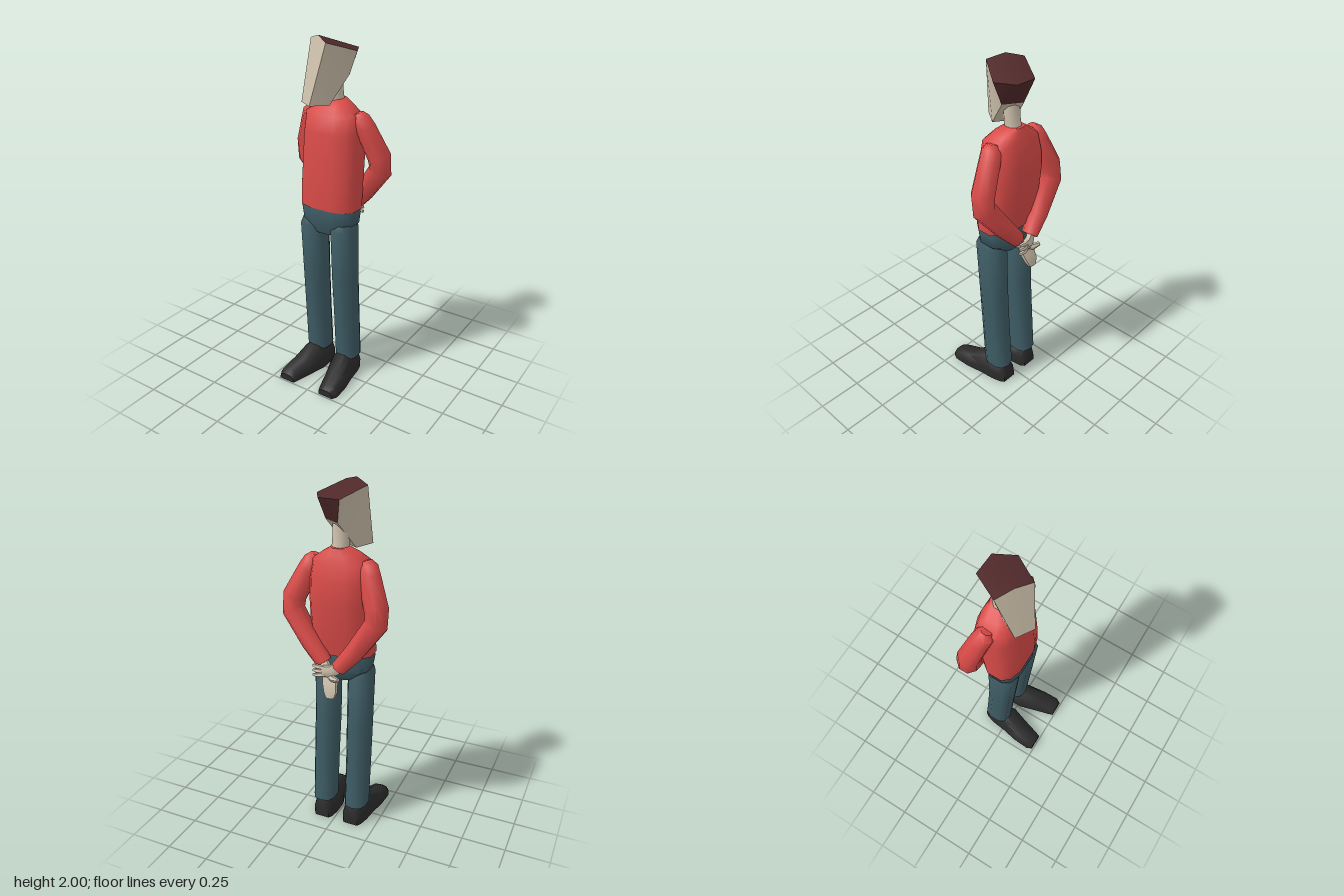
import * as THREE from 'three';
import { toCreasedNormals } from 'three/addons/utils/BufferGeometryUtils.js';

const CX = -0.017; // the body's own middle line
const V = (x, y, z) => new THREE.Vector3(x, y, z);
const mat = (color) => new THREE.MeshStandardMaterial({ color });
const RED = mat(0xd94b48), DENIM = mat(0x3e5c65), SKIN = mat(0xcdc0ab), HAIR = mat(0x50292a), BLACK = mat(0x2a2a2a);

function makeMesh(name, points, index, material, crease) {
  const g = new THREE.BufferGeometry().setFromPoints(points);
  g.setIndex(index);
  const mesh = new THREE.Mesh(toCreasedNormals(g, crease), material);
  mesh.name = name;
  return mesh;
}

// Closed skin over a list of rings; the winding is turned outward whatever the ring order
function loft(name, rings, material, crease = 0.95) {
  const n = rings[0].length, pts = rings.flat(), idx = [];
  for (let r = 0; r < rings.length - 1; r++) {
    for (let i = 0; i < n; i++) {
      const a = r * n + i, b = r * n + (i + 1) % n;
      idx.push(a, a + n, b, b, a + n, b + n);
    }
  }
  const last = (rings.length - 1) * n;
  for (let i = 1; i < n - 1; i++) idx.push(0, i, i + 1, last, last + i + 1, last + i);
  let volume = 0;
  for (let i = 0; i < idx.length; i += 3) {
    volume += pts[idx[i]].dot(pts[idx[i + 1]].clone().cross(pts[idx[i + 2]]));
  }
  if (volume < 0) idx.reverse();
  return makeMesh(name, pts, idx, material, crease);
}

// Round limb through stations [x, y, z, radius]
function limb(name, stations, material, sides = 8, flat = 1) {
  const c = stations.map((s) => V(s[0], s[1], s[2]));
  const rings = c.map((p, i) => {
    const t = c[Math.min(i + 1, c.length - 1)].clone().sub(c[Math.max(i - 1, 0)]).normalize();
    const u = V(0, 0, 1).cross(t).normalize(), w = t.clone().cross(u);
    return Array.from({ length: sides }, (_, k) => {
      const a = ((k + 0.5) / sides) * Math.PI * 2, r = stations[i][3];
      return p.clone().addScaledVector(u, Math.cos(a) * r).addScaledVector(w, Math.sin(a) * r * flat);
    });
  });
  return loft(name, rings, material);
}

// Horizontal rounded-box ring
function slab(cx, y, halfWidth, front, back, sides = 12, power = 0.7) {
  const soft = (v) => Math.sign(v) * Math.abs(v) ** power;
  return Array.from({ length: sides }, (_, i) => {
    const a = ((i + 0.5) / sides) * Math.PI * 2;
    return V(cx + soft(Math.cos(a)) * halfWidth, y,
      (front + back) / 2 + soft(Math.sin(a)) * (front - back) / 2);
  });
}

function makeHead() {
  const head = new THREE.Group();
  head.name = 'head';
  const p = [
    [0.096, 1.975, 0], [0, 2.0, 0], [-0.096, 1.975, 0],                       // hairline
    [-0.102, 1.925, -0.17], [0, 1.925, -0.228], [0.102, 1.925, -0.17],        // crown
    [0.055, 1.8, -0.15], [-0.055, 1.8, -0.15],                                // nape
    [0.074, 1.655, -0.03], [-0.045, 1.655, -0.03],                            // jaw
    [0.068, 1.66, 0.08], [-0.037, 1.66, 0.08],                                // chin
  ].map((q) => V(...q));
  const fan = (faces) => faces.flatMap((f) => f.slice(2).flatMap((_, i) => [f[0], f[i + 1], f[i + 2]]));
  head.add(makeMesh('face', p, fan([[1, 2, 11, 10, 0], [0, 10, 8, 6, 5], [2, 3, 7, 9, 11],
    [10, 11, 9, 8], [8, 9, 7, 6]]), SKIN, 0.6));
  head.add(makeMesh('hair', p, fan([[1, 0, 5, 4, 3, 2], [5, 6, 4], [4, 6, 7], [4, 7, 3]]), HAIR, 0.6));
  // the head looks toward the model's right
  head.position.set(-0.062, 0, 0.025);
  head.rotation.y = -0.57;
  return head;
}

function makeShoe(side) {
  // stations: z, inner edge, outer edge, height
  const rings = [
    [-0.148, 0.05, 0.135, 0.07], [-0.125, 0.035, 0.15, 0.125], [-0.07, 0.025, 0.165, 0.14],
    [0.015, 0.025, 0.175, 0.145], [0.11, 0.052, 0.194, 0.088], [0.21, 0.08, 0.2, 0.062], [0.242, 0.09, 0.185, 0.04],
  ].map(([z, a, b, h]) => [[0, 0], [0, 0.45], [0.2, 0.9], [0.4, 1], [0.65, 1], [0.85, 0.85], [1, 0.4], [1, 0]]
    .map(([s, t]) => V(CX + side * (a + (b - a) * s), h * t, z)));
  return loft(side > 0 ? 'leftShoe' : 'rightShoe', rings, BLACK, 0.8);
}

export function createModel() {
  const model = new THREE.Group();
  model.name = 'standingMan';

  model.add(makeHead());
  model.add(limb('neck', [[CX, 1.6, -0.085, 0.047], [CX, 1.7, -0.065, 0.045], [-0.015, 1.82, -0.06, 0.042]], SKIN));

  // Sweater body: y, half width, front z, back z
  model.add(loft('sweater', [
    [1.08, 0.176, 0.08, -0.135], [1.2, 0.174, 0.082, -0.155], [1.38, 0.17, 0.07, -0.18],
    [1.5, 0.166, 0.06, -0.178], [1.595, 0.155, 0.045, -0.155], [1.635, 0.1, 0.01, -0.142], [1.67, 0.045, -0.035, -0.13],
  ].map(([y, w, f, b]) => slab(CX, y, w, f, b)), RED));

  // Hips
  model.add(loft('hips', [
    [1.1, 0.165, 0.07, -0.125], [1.06, 0.172, 0.077, -0.13], [0.99, 0.16, 0.075, -0.135], [0.93, 0.085, 0.055, -0.105],
  ].map(([y, w, f, b]) => slab(CX, y, w, f, b)), DENIM));

  // Legs and shoes
  for (const side of [-1, 1]) {
    const stations = [
      [1.0, 0.1, 0.055, 0.06, -0.08], [0.965, 0.099, 0.07, 0.075, -0.1], [0.65, 0.098, 0.07, 0.053, -0.108],
      [0.4, 0.1, 0.068, 0.035, -0.125], [0.115, 0.1, 0.067, 0.016, -0.148],
    ];
    model.add(loft(side > 0 ? 'leftLeg' : 'rightLeg',
      stations.map(([y, a, w, f, b]) => slab(CX + side * a, y, w, f, b, 10, 0.8)), DENIM));
    model.add(makeShoe(side));
  }

  // Sleeves, bent so that the hands meet behind the back
  model.add(limb('leftSleeve', [
    [0.125, 1.61, -0.065, 0.03], [0.135, 1.58, -0.068, 0.053], [0.16, 1.53, -0.08, 0.058], [0.235, 1.38, -0.105, 0.064],
    [0.238, 1.3, -0.115, 0.064], [0.12, 1.14, -0.145, 0.055], [0.04, 1.045, -0.16, 0.045],
  ], RED));
  model.add(limb('rightSleeve', [
    [-0.155, 1.61, -0.07, 0.03], [-0.167, 1.58, -0.073, 0.053], [-0.185, 1.53, -0.09, 0.058], [-0.24, 1.38, -0.13, 0.064],
    [-0.243, 1.3, -0.138, 0.064], [-0.13, 1.13, -0.158, 0.055], [-0.05, 1.035, -0.172, 0.045],
  ], RED));

  // Left hand hangs down; the right one holds its wrist
  model.add(limb('leftHand', [
    [0.05, 1.05, -0.16, 0.034], [0.01, 1.0, -0.178, 0.036], [-0.01, 0.95, -0.195, 0.046],
    [-0.02, 0.9, -0.212, 0.04], [-0.022, 0.87, -0.222, 0.026],
  ], SKIN, 6, 0.6));
  model.add(limb('leftThumb', [
    [0.01, 1.0, -0.18, 0.02], [-0.035, 0.985, -0.215, 0.018], [-0.07, 0.99, -0.225, 0.012],
  ], SKIN, 6));
  model.add(limb('rightHand', [
    [-0.055, 1.04, -0.175, 0.034], [-0.015, 1.02, -0.2, 0.036], [0.03, 1.02, -0.212, 0.034],
  ], SKIN, 6, 0.7));
  for (let i = 0; i < 3; i++) {
    model.add(limb('rightFinger', [
      [0.015, 1.04 - i * 0.02, -0.212, 0.014], [0.05, 1.045 - i * 0.025, -0.222, 0.013], [0.078, 1.045 - i * 0.028, -0.215, 0.009],
    ], SKIN, 5));
  }
  return model;
}
